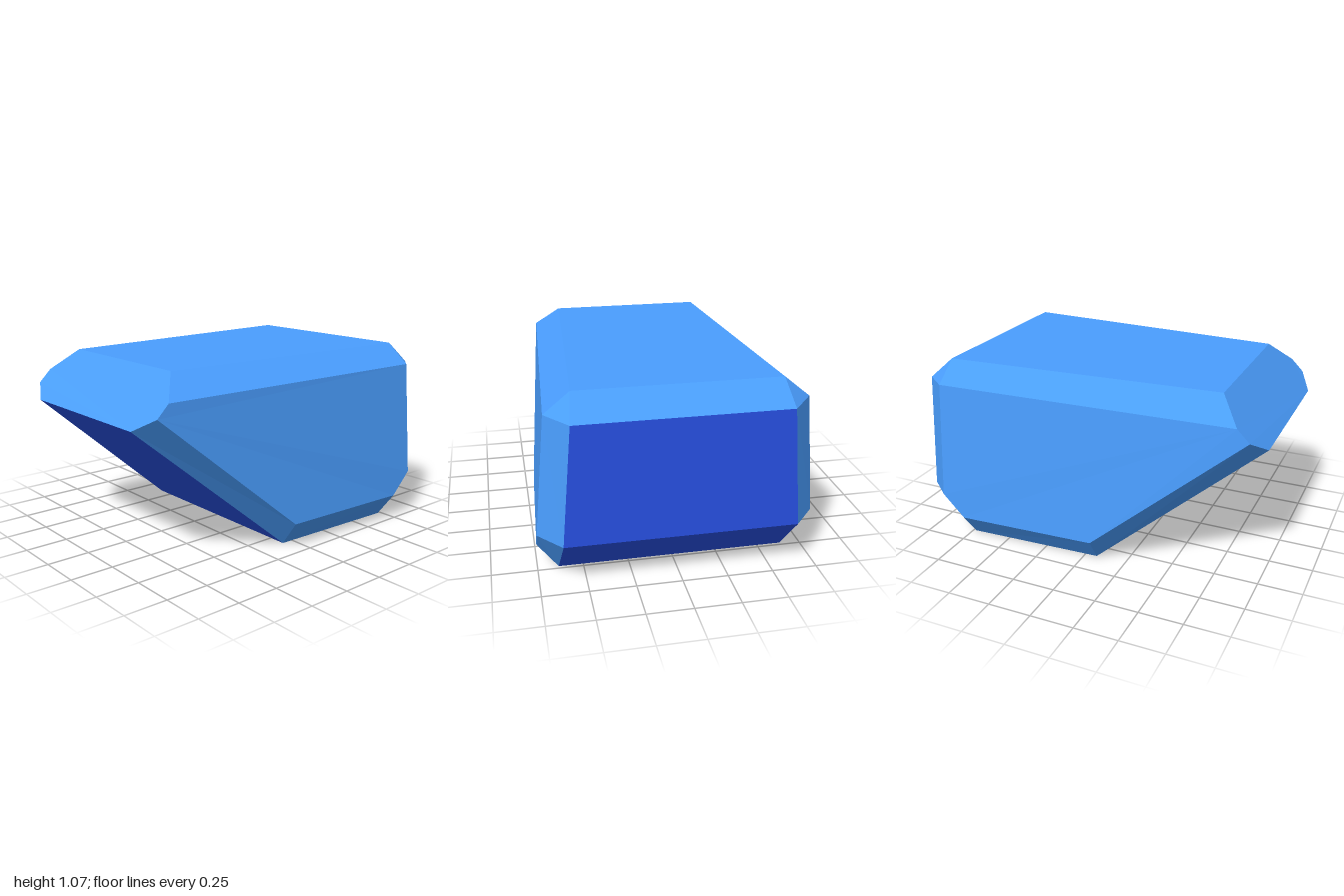
import * as THREE from 'three';

// Corner points of the front (+z) half; the back half is mirrored
const side = [
  [-0.93, 0.87, 0.6], [-0.08, 0.15, 0.71], [0.73, 0.15, 0.75],
  [0.86, 0.28, 0.75], [0.86, 0.95, 0.69], [-0.86, 0.94, 0.6],
];
const belly = [
  [-1, 0.795, 0.47], [-0.07, 0, 0.6], [0.73, 0, 0.635],
  [1, 0.275, 0.625], [1, 0.94, 0.57],
];
const roof = [[0.86, 1.065, 0.55], [-0.74, 1.065, 0.455]];

const flip = ([x, y, z]) => [x, y, -z];
const mirror = (face) => face.map(flip).reverse();

// Each face is a counter-clockwise polygon, split as a fan
function facetMesh(name, faces, material) {
  const positions = [];
  for (const f of faces) {
    for (let i = 1; i < f.length - 1; i++) positions.push(...f[0], ...f[i], ...f[i + 1]);
  }
  const geometry = new THREE.BufferGeometry();
  geometry.setAttribute('position', new THREE.Float32BufferAttribute(positions, 3));
  geometry.computeVertexNormals();
  const mesh = new THREE.Mesh(geometry, material);
  mesh.name = name;
  return mesh;
}

export function createModel() {
  const group = new THREE.Group();
  group.name = 'bevelledBlock';
  const light = new THREE.MeshStandardMaterial({ color: 0x4a9eff, flatShading: true });
  const deep = new THREE.MeshStandardMaterial({ color: 0x2952e8, flatShading: true });
  const both = (faces) => [...faces, ...faces.map(mirror)];
  const across = (a, b) => [b, a, flip(a), flip(b)];

  // Large flat sides
  group.add(facetMesh('sidePanels', both([side]), light));

  // Chamfers around each side, with the small upper corner triangle
  const bevels = [0, 1, 2, 3].map((i) => [side[i + 1], side[i], belly[i], belly[i + 1]]);
  bevels.push([side[5], side[4], roof[0], roof[1]], [side[4], belly[4], roof[0]]);
  group.add(facetMesh('sideBevels', both(bevels), light));

  // Top and its chamfer towards the tall end
  group.add(facetMesh('topPanels', [across(roof[0], roof[1]), across(belly[4], roof[0])], light));

  // Slanted eight-cornered tip
  const half = [belly[0], side[0], side[5], roof[1]];
  group.add(facetMesh('tipPanel', [[...half, ...mirror(half)]], light));

  // Deep blue underside and tall end
  const under = [0, 1, 2, 3].map((i) => across(belly[i], belly[i + 1]));
  group.add(facetMesh('undersideAndEnd', under, deep));

  return group;
}
